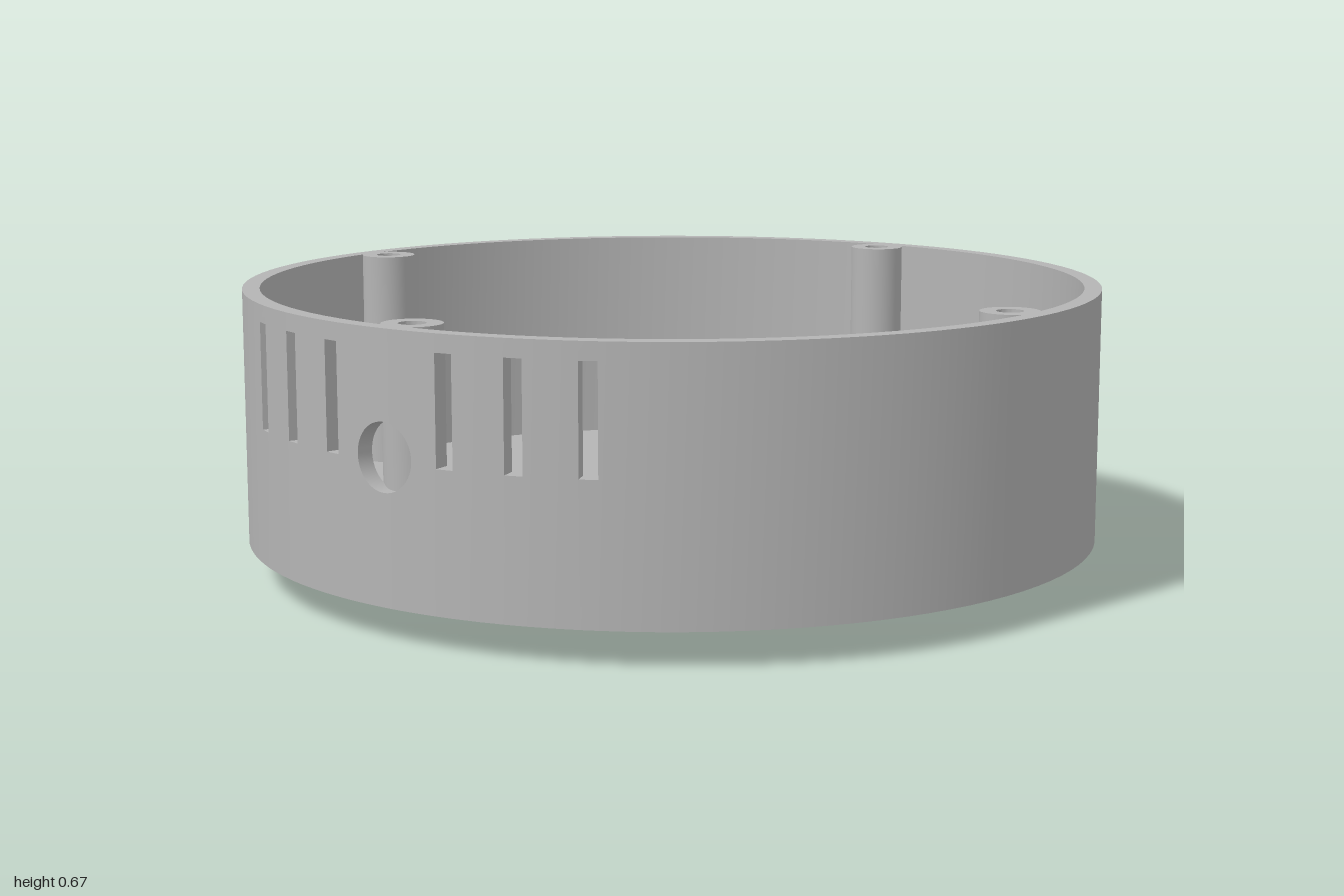
import * as THREE from 'three';
import { toCreasedNormals } from 'three/addons/utils/BufferGeometryUtils.js';

const OUTER = 1, INNER = 0.96, BOTTOM = 0.08, FLOOR = 0.14, TOP = 0.67;

// Ring wall made of angular blocks, leaving slots and a round port open at the front
function wallGeometry() {
  const pos = [];
  const at = (a, r, y) => [Math.sin(a) * r, y, Math.cos(a) * r];
  const quad = (a, b, c, d) => pos.push(...a, ...b, ...c, ...a, ...c, ...d);

  // Solid block between two angles; lower and upper edges may slope
  const block = (a, b, loA, loB, hiA, hiB) => {
    quad(at(a, OUTER, loA), at(b, OUTER, loB), at(b, OUTER, hiB), at(a, OUTER, hiA));
    quad(at(b, INNER, loB), at(a, INNER, loA), at(a, INNER, hiA), at(b, INNER, hiB));
    quad(at(a, OUTER, hiA), at(b, OUTER, hiB), at(b, INNER, hiB), at(a, INNER, hiA));
    quad(at(b, OUTER, loB), at(a, OUTER, loA), at(a, INNER, loA), at(b, INNER, loB));
  };
  const solid = (a, b) => {
    const n = Math.ceil((b - a) / 0.06);
    for (let i = 0; i < n; i++) {
      block(a + (b - a) * i / n, a + (b - a) * (i + 1) / n, BOTTOM, BOTTOM, TOP, TOP);
    }
  };
  const slot = (a, b) => {
    const lo = 0.39, hi = 0.63;
    block(a, b, BOTTOM, BOTTOM, lo, lo);
    block(a, b, hi, hi, TOP, TOP);
    quad(at(a, OUTER, lo), at(a, INNER, lo), at(a, INNER, hi), at(a, OUTER, hi));
    quad(at(b, INNER, lo), at(b, OUTER, lo), at(b, OUTER, hi), at(b, INNER, hi));
  };
  const port = (r, y) => {
    const n = 24;
    for (let i = 0; i < n; i++) {
      const p = Math.PI * i / n, q = Math.PI * (i + 1) / n;
      const a = Math.asin(-r * Math.cos(p)), b = Math.asin(-r * Math.cos(q));
      const ha = r * Math.sin(p), hb = r * Math.sin(q);
      block(a, b, BOTTOM, BOTTOM, y - ha, y - hb);
      block(a, b, y + ha, y + hb, TOP, TOP);
    }
  };

  // Walk once around the ring, starting at the back
  let angle = -Math.PI;
  for (const degrees of [-27, -18, -9, 0, 9, 18, 27]) {
    const centre = THREE.MathUtils.degToRad(degrees);
    const half = degrees === 0 ? Math.asin(0.075) : 0.02;
    solid(angle, centre - half);
    if (degrees === 0) port(0.075, 0.4);
    else slot(centre - half, centre + half);
    angle = centre + half;
  }
  solid(angle, Math.PI);

  const geometry = new THREE.BufferGeometry();
  geometry.setAttribute('position', new THREE.Float32BufferAttribute(pos, 3));
  return toCreasedNormals(geometry, 0.5);
}

// Round floor plate with drilled holes
function floorGeometry() {
  const shape = new THREE.Shape().absarc(0, 0, INNER + 0.005, 0, Math.PI * 2);
  const holes = [[-0.4, 0, 0.035], [0.4, 0, 0.035], [0.6, 0, 0.04]];
  for (const x of [-0.605, 0.605]) {
    for (const z of [-0.605, 0.605]) holes.push([x, z, 0.025]);
  }
  for (const [x, z, r] of holes) {
    shape.holes.push(new THREE.Path().absarc(x, -z, r, 0, Math.PI * 2, true));
  }
  const geometry = new THREE.ExtrudeGeometry(shape, {
    depth: FLOOR - BOTTOM, bevelEnabled: false, curveSegments: 48,
  });
  geometry.rotateX(-Math.PI / 2).translate(0, BOTTOM, 0);
  return toCreasedNormals(geometry, 0.5);
}

function lathe(points) {
  const profile = points.map(([r, y]) => new THREE.Vector2(r, y));
  return toCreasedNormals(new THREE.LatheGeometry(profile, 40), 0.5);
}

export function createModel() {
  const model = new THREE.Group();
  model.name = 'roundEnclosure';
  const grey = new THREE.MeshStandardMaterial({ color: 0xb4b4b4 });
  grey.name = 'grey plastic';

  const add = (name, geometry, x = 0, z = 0) => {
    const mesh = new THREE.Mesh(geometry, grey);
    mesh.name = name;
    mesh.position.set(x, 0, z);
    model.add(mesh);
  };

  add('wall', wallGeometry());
  add('floor', floorGeometry());

  // Four screw posts with blind bores
  const post = lathe([
    [0.066, FLOOR - 0.01], [0.066, TOP], [0.03, TOP], [0.03, FLOOR + 0.01], [0, FLOOR + 0.01],
  ]);
  add('frontPost', post, 0, 0.905);
  add('backPost', post, 0, -0.905);
  add('leftPost', post, 0.905, 0);
  add('rightPost', post, -0.905, 0);

  // Hollow spout under the floor
  add('spout', lathe([[0.04, BOTTOM], [0.04, 0], [0.065, 0], [0.065, BOTTOM]]), 0.6, 0);

  return model;
}
